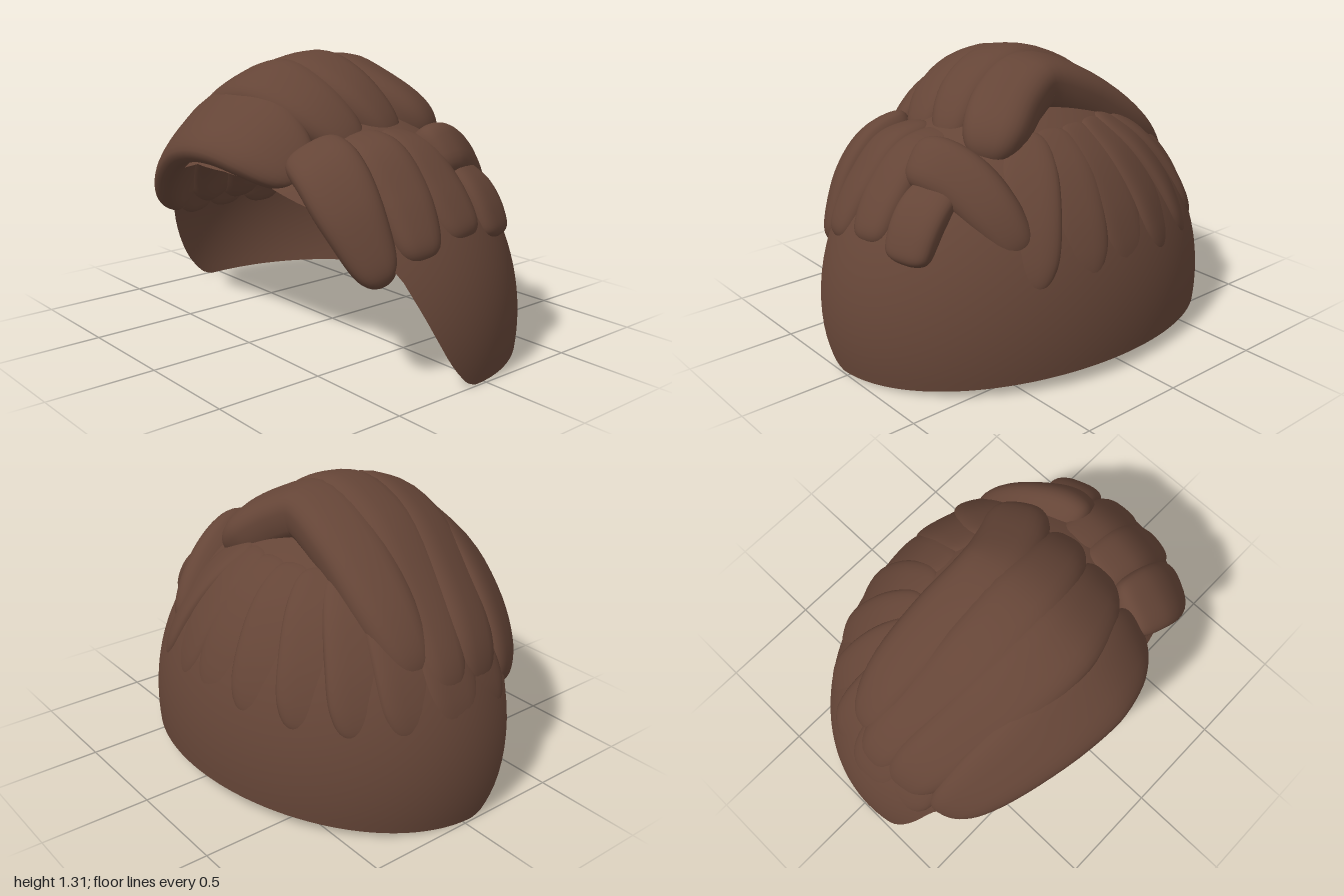
import * as THREE from 'three';

const V = (p) => new THREE.Vector3(...p);

// Smooth surface from rows of points, each row closing on itself
function loft(rows, cols, point) {
  const pos = [], idx = [];
  for (let k = 0; k <= rows; k++)
    for (let j = 0; j < cols; j++) pos.push(...point(k / rows, (j / cols) * Math.PI * 2));
  for (let k = 0; k < rows; k++)
    for (let j = 0; j < cols; j++) {
      const a = k * cols + j, b = k * cols + ((j + 1) % cols), c = a + cols, d = b + cols;
      idx.push(a, c, b, b, c, d);
    }
  const g = new THREE.BufferGeometry();
  g.setAttribute('position', new THREE.Float32BufferAttribute(pos, 3));
  g.setIndex(idx);
  g.computeVertexNormals();
  return g;
}

// Skull dome: half axes and centre
const RX = 1, RY = 0.96, RZ = 0.79, CY = 0.15, CZ = 0.05;
function domePoint(a, y, out = 0) {
  const s = (y - CY) / RY, c = Math.sqrt(Math.max(0, 1 - s * s));
  return [(RX + out) * c * Math.cos(a), y + out * s, CZ + (RZ + out) * c * Math.sin(a)];
}

// Lower edge of the cap: low round the back, sweeping up to the hairline in front
const hairline = [[0, 0], [3.5, 0.015], [7, 0.06], [11, 0.13], [15, 0.23], [19, 0.34], [25, 0.5], [47, 0.72], [70, 0.81], [90, 0.82]];
function edgeHeight(a) {
  const s = Math.sin(a);
  if (s <= 0) return 0.065 * (-s) ** 1.6;
  const deg = THREE.MathUtils.radToDeg(Math.asin(Math.min(1, s)));
  let i = 1;
  while (i < hairline.length - 1 && hairline[i][0] < deg) i++;
  const [d0, y0] = hairline[i - 1], [d1, y1] = hairline[i];
  return y0 + ((y1 - y0) * (deg - d0)) / (d1 - d0);
}

function capGeometry() {
  return loft(40, 180, (t, a) => {
    const e0 = Math.asin((edgeHeight(a) - CY) / RY);
    const e = e0 + (Math.PI / 2 - e0) * t;
    return domePoint(a, CY + RY * Math.sin(e));
  });
}

// A rounded flat lock; the points run along its outer crest
function lockGeometry(points, widths, thick) {
  const path = new THREE.CatmullRomCurve3(points.map(V));
  const wide = new THREE.CatmullRomCurve3(widths.map((w, i) => new THREE.Vector3(w, i, 0)));
  const heart = new THREE.Vector3(0, 0.42, CZ);
  const soft = (v) => Math.sign(v) * Math.abs(v) ** 0.72;
  return loft(40, 28, (k, a) => {
    const t = (1 - Math.cos(Math.PI * k)) / 2;
    const p = path.getPoint(t), tan = path.getTangent(t);
    const n = p.clone().sub(heart);
    n.addScaledVector(tan, -n.dot(tan)).normalize();
    const side = tan.clone().cross(n);
    const f = Math.sqrt(Math.max(0, 1 - Math.abs(2 * t - 1) ** 12));
    const w = wide.getPoint(t).x;
    p.addScaledVector(n, -thick)
      .addScaledVector(side, w * f * soft(Math.cos(a)))
      .addScaledVector(n, thick * f * soft(Math.sin(a)));
    return [p.x, p.y, p.z];
  });
}

export function createModel() {
  const model = new THREE.Group();
  model.name = 'hairpiece';
  const brown = new THREE.MeshStandardMaterial({ color: 0x654537, side: THREE.DoubleSide });
  brown.name = 'brown hair';
  const add = (name, geometry) => {
    const m = new THREE.Mesh(geometry, brown);
    m.name = name;
    model.add(m);
  };
  const lock = (name, points, widths, thick) => add(name, lockGeometry(points, widths, thick));

  add('cap', capGeometry());

  // Broad locks swept from the right side over the crown
  lock('frontSweptLock',
    [[-0.85, 0.5, 0.4], [-0.75, 0.67, 0.47], [-0.58, 0.85, 0.53], [-0.3, 1.02, 0.59], [0, 1.08, 0.61], [0.22, 1.02, 0.59], [0.43, 0.87, 0.51]],
    [0.09, 0.14, 0.18, 0.21, 0.22, 0.19, 0.14], 0.07);
  lock('secondSweptLock',
    [[-0.91, 0.53, 0.18], [-0.8, 0.75, 0.24], [-0.6, 0.95, 0.31], [-0.32, 1.16, 0.37], [0, 1.25, 0.39], [0.25, 1.17, 0.34], [0.49, 0.97, 0.22]],
    [0.12, 0.15, 0.17, 0.18, 0.18, 0.16, 0.12], 0.1);
  lock('thirdSweptLock',
    [[-0.93, 0.55, 0], [-0.81, 0.76, 0.03], [-0.6, 0.98, 0.09], [-0.32, 1.21, 0.14], [0, 1.31, 0.14], [0.25, 1.23, 0.1], [0.5, 1.0, -0.01]],
    [0.11, 0.14, 0.16, 0.17, 0.17, 0.15, 0.12], 0.12);
  lock('hookedSweptLock',
    [[-0.86, 0.69, -0.13], [-0.61, 0.97, -0.13], [-0.3, 1.19, -0.1], [0, 1.29, -0.08], [0.2, 1.22, -0.14], [0.36, 1.1, -0.23], [0.46, 0.95, -0.28]],
    [0.12, 0.15, 0.16, 0.16, 0.16, 0.15, 0.12], 0.12);

  // Locks falling down the left side from the parting
  lock('leftFrontLock',
    [[0.36, 1.0, 0.46], [0.55, 0.93, 0.49], [0.7, 0.77, 0.49], [0.85, 0.47, 0.43]], [0.14, 0.15, 0.14, 0.09], 0.07);
  lock('leftMiddleLock',
    [[0.38, 1.02, 0.22], [0.6, 0.97, 0.24], [0.77, 0.8, 0.24], [0.91, 0.56, 0.25]], [0.12, 0.13, 0.13, 0.1], 0.08);
  lock('leftRearLock',
    [[0.38, 1.02, 0.03], [0.61, 0.97, 0.04], [0.78, 0.81, 0.03], [0.91, 0.61, 0]], [0.11, 0.12, 0.13, 0.11], 0.08);
  lock('leftUnderLock',
    [[0.62, 0.88, -0.2], [0.74, 0.8, -0.22], [0.81, 0.71, -0.23], [0.87, 0.57, -0.24]], [0.11, 0.12, 0.12, 0.11], 0.06);
  lock('leftCurledLock',
    [[0.46, 0.58, -0.57], [0.54, 0.78, -0.44], [0.6, 0.91, -0.29], [0.65, 0.96, -0.15], [0.67, 0.95, -0.01]],
    [0.09, 0.12, 0.13, 0.13, 0.12], 0.1);

  // Flat locks round the back and right, showing rounded ends inside the cap
  for (let i = 0; i < 9; i++) {
    const a = THREE.MathUtils.degToRad(-62 - i * 16.8);
    const points = [1.02, 0.88, 0.72, 0.57, 0.43].map((y, k) => domePoint(a + 0.01 * k, y, 0.022 - 0.006 * k));
    lock('backLock' + (i + 1), points, [0.11, 0.14, 0.145, 0.135, 0.09], 0.05);
  }
  return model;
}
